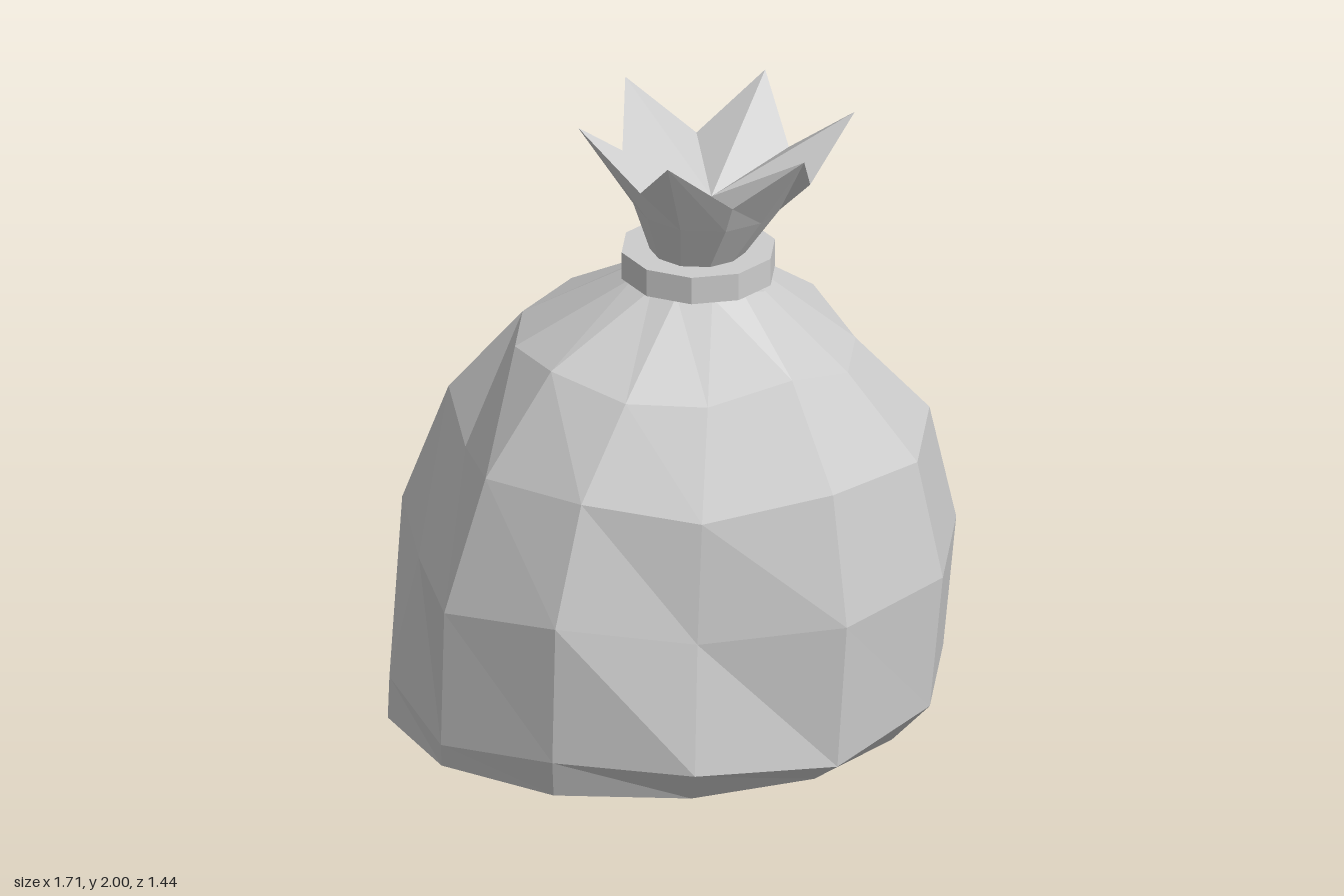
import * as THREE from 'three';

const cloth = new THREE.MeshStandardMaterial({ color: 0xcccccc });
cloth.name = 'pale grey cloth';
cloth.flatShading = true;

// Skin between rings of [x, y, z] points; angles run from +x towards +z, rings run along the surface
function loft(rings) {
  const pos = [];
  const n = rings[0].length;
  const same = (p, q) => p.every((v, i) => v === q[i]);
  const tri = (a, b, c) => {
    if (!same(a, b) && !same(b, c) && !same(a, c)) pos.push(...a, ...b, ...c);
  };
  for (let r = 0; r < rings.length - 1; r++) {
    for (let i = 0; i < n; i++) {
      const j = (i + 1) % n;
      const a = rings[r][i], b = rings[r][j], c = rings[r + 1][j], d = rings[r + 1][i];
      tri(a, d, c);
      tri(a, c, b);
    }
  }
  const geometry = new THREE.BufferGeometry();
  geometry.setAttribute('position', new THREE.Float32BufferAttribute(pos, 3));
  geometry.computeVertexNormals();
  return geometry;
}

const point = (n, x, y, z) => Array.from({ length: n }, () => [x, y, z]);

function part(name, geometry) {
  const mesh = new THREE.Mesh(geometry, cloth);
  mesh.name = name;
  return mesh;
}

// Lumpy twelve-sided bag; each level lists x, y, z of the front half, mirrored to the back
function makeSack() {
  const levels = [
    { x: [0.69, 0.48, 0.12, -0.3, -0.66, -0.855], y: [0, 0, 0, 0, 0, 0], z: [0.17, 0.46, 0.63, 0.65, 0.48, 0.17] },
    { x: [0.81, 0.56, 0.14, -0.3, -0.66, -0.85], y: [0.14, 0.09, 0.12, 0.13, 0.08, 0.14], z: [0.21, 0.55, 0.72, 0.69, 0.5, 0.17] },
    { x: [0.85, 0.59, 0.14, -0.29, -0.65, -0.845], y: [0.58, 0.57, 0.53, 0.59, 0.53, 0.58], z: [0.21, 0.56, 0.64, 0.7, 0.5, 0.18] },
    { x: [0.77, 0.54, 0.15, -0.22, -0.53, -0.7], y: [0.96, 0.98, 0.92, 0.97, 0.96, 0.98], z: [0.19, 0.48, 0.6, 0.6, 0.43, 0.15] },
    { x: [0.55, 0.4, 0.15, -0.1, -0.34, -0.47], y: [1.22, 1.29, 1.23, 1.24, 1.28, 1.26], z: [0.12, 0.33, 0.42, 0.44, 0.32, 0.12] },
    { x: [0.29, 0.23, 0.14, 0.03, -0.05, -0.11], y: [1.45, 1.48, 1.48, 1.48, 1.48, 1.48], z: [0.05, 0.13, 0.17, 0.17, 0.13, 0.05] },
  ];
  const rings = levels.map(({ x, y, z }) => {
    const front = x.map((v, i) => [v, y[i], z[i]]);
    const back = front.map(([a, b, c]) => [a, b, -c]).reverse();
    return [...front, ...back];
  });
  // Sagging dent on the front of the right side
  rings[2][5] = [-0.76, 0.55, 0.17];
  rings[3][5] = [-0.62, 0.92, 0.14];
  return loft([point(12, 0, 0, 0), ...rings, point(12, 0.1, 1.5, 0)]);
}

// Gathered cloth above the tie: six points, with a folded hollow in the middle
function makeRuffle() {
  const tips = [[0.55, -0.1], [0.43, 0.26], [0.02, 0.35], [-0.28, 0.09], [-0.17, -0.27], [0.25, -0.36]];
  const valleys = [[0.43, 0.07], [0.21, 0.26], [-0.08, 0.18], [-0.16, -0.07], [0.05, -0.25], [0.34, -0.18]];
  const rim = tips.flatMap(([x, z], i) => [[x, 2, z], [valleys[i][0], 1.83, valleys[i][1]]]);
  const ring = (cx, y, r) => rim.map(([x, , z]) => {
    const a = Math.atan2(z, x - 0.12);
    return [cx + r * Math.cos(a), y, r * Math.sin(a)];
  });
  return loft([ring(0.075, 1.54, 0.135), ring(0.11, 1.73, 0.23), rim, point(12, 0.12, 1.74, 0)]);
}

export function createModel() {
  const model = new THREE.Group();
  model.name = 'tiedSack';
  model.add(part('sackBody', makeSack()));

  // Flat band tied around the neck
  const band = part('neckTie', new THREE.CylinderGeometry(0.24, 0.24, 0.09, 10));
  band.scale.z = 0.92;
  band.position.set(0.08, 1.525, 0);
  model.add(band);

  model.add(part('ruffledTop', makeRuffle()));
  return model;
}
